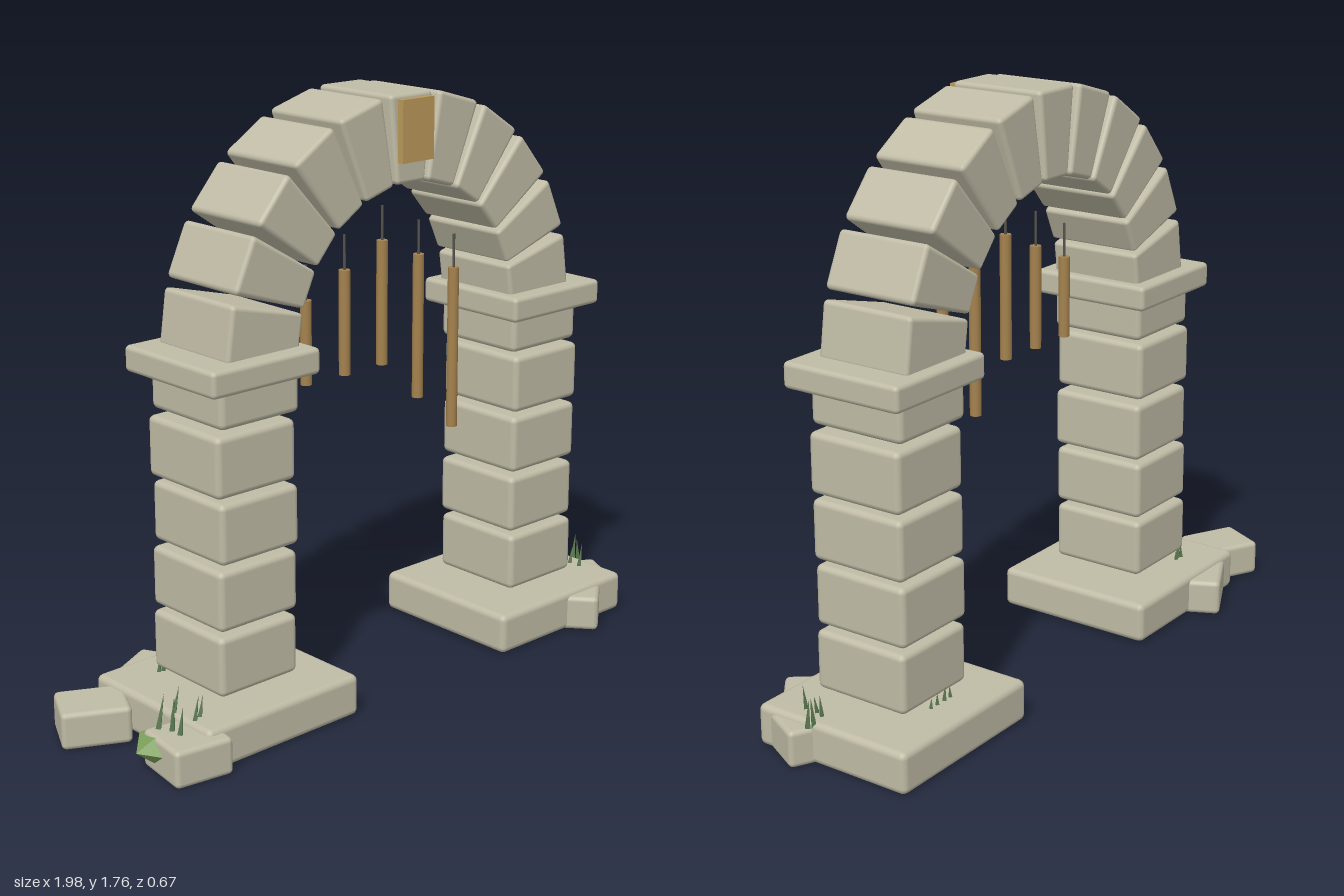
import * as THREE from 'three';
import { RoundedBoxGeometry } from 'three/addons/geometries/RoundedBoxGeometry.js';

export function createModel() {
  const root = new THREE.Group();
  root.name = 'stoneArch';
  const mat = (name, color, flatShading = false) => {
    const m = new THREE.MeshStandardMaterial({ color, flatShading });
    m.name = name;
    return m;
  };
  const stone = mat('stone', 0xbfbba5);
  const plate = mat('brassPlate', 0xbc9a5a);
  const wood = mat('chimeBrown', 0xa5824e);
  const cord = mat('cord', 0x57544c);
  const moss = mat('moss', 0x7d9f5a, true);
  const grass = mat('grass', 0x55734a, true);

  const add = (name, geo, material, x, y, z, ry = 0) => {
    const m = new THREE.Mesh(geo, material);
    m.name = name;
    m.position.set(x, y, z);
    m.rotation.y = ry;
    root.add(m);
    return m;
  };
  const block = (w, h, d, r) => new RoundedBoxGeometry(w, h, d, 2, r);

  const midX = 0.072;
  const half = 0.58;

  // Pillars: base slab, five slightly shifted blocks, cap
  const baseGeo = block(0.555, 0.125, 0.52, 0.02);
  const blockGeo = block(0.28, 0.177, 0.31, 0.018);
  const capGeo = block(0.38, 0.076, 0.39, 0.014);
  const shifts = {
    '-1': [-0.008, -0.005, 0.003, -0.007, 0.008],
    '1': [0, -0.005, 0, 0.004, -0.01],
  };
  for (const s of [-1, 1]) {
    const x = midX + s * half;
    add('base', baseGeo, stone, x, 0.0625, 0);
    shifts[s].forEach((dx, i) =>
      add('pillarBlock', blockGeo, stone, x + dx, 0.235 + i * 0.1935, 0.004));
    add('cap', capGeo, stone, x, 1.067, 0.005);
  }

  // Arch: eleven wedge stones, wider at the outer radius
  const rIn = 0.42, rOut = 0.676, archY = 1.08, count = 11;
  const wedge = block(0.138, rOut - rIn, 0.3, 0.013);
  const p = wedge.attributes.position;
  for (let i = 0; i < p.count; i++) {
    const t = p.getY(i) / (rOut - rIn) + 0.5;
    p.setX(i, p.getX(i) * THREE.MathUtils.lerp(0.054, 0.0835, t) / 0.069);
  }
  const rMid = (rIn + rOut) / 2;
  for (let i = 0; i < count; i++) {
    const a = (i - (count - 1) / 2) * Math.PI / count;
    const m = add(i === 5 ? 'keystone' : 'archStone', wedge, stone,
      midX + rMid * Math.sin(a), archY + rMid * Math.cos(a), 0);
    m.rotation.z = -a;
  }

  // Plate on the keystone
  add('keystonePlate', new THREE.BoxGeometry(0.122, 0.178, 0.02), plate, midX, 1.655, 0.166);

  // Hanging chimes: x step, top, bottom
  [[-2, 1.19, 0.943], [-1, 1.254, 0.943], [0, 1.318, 0.946], [1, 1.254, 0.815], [2, 1.19, 0.692]]
    .forEach(([k, top, bottom]) => {
      const x = midX + k * 0.148;
      add('chimeTube', new THREE.CylinderGeometry(0.017, 0.017, top - bottom, 10), wood,
        x, (top + bottom) / 2, 0.03);
      add('chimeCord', new THREE.CylinderGeometry(0.004, 0.004, 0.104, 6), cord, x, top + 0.05, 0.03);
    });

  // Loose stones around the bases: x, z, width, depth, turn
  [
    [-0.872, -0.155, 0.2, 0.167, -0.476],
    [-0.62, -0.21, 0.24, 0.187, 0.46],
    [-0.807, 0.195, 0.18, 0.187, -0.15],
    [0.75, 0.21, 0.187, 0.171, 0.68],
    [0.865, 0.13, 0.187, 0.187, -0.47],
  ].forEach(([x, z, w, d, turn]) =>
    add('looseStone', block(w, 0.11, d, 0.015), stone, x, 0.055, z, turn));

  // Moss clumps
  const mossGeo = new THREE.IcosahedronGeometry(1, 0);
  add('mossClump', mossGeo, moss, -0.845, 0.068, 0.13, 0.5).scale.set(0.095, 0.045, 0.08);
  add('mossClump', mossGeo, moss, 0.875, 0.07, 0.115, 0.3).scale.set(0.075, 0.04, 0.07);

  // Grass blades: x, z, height, sideways lean
  const bladeGeo = new THREE.ConeGeometry(0.01, 1, 4);
  bladeGeo.translate(0, 0.5, 0);
  [
    [-0.85, 0.12, 0.1, -0.22], [-0.83, 0.155, 0.1, -0.1], [-0.775, 0.09, 0.09, -0.25],
    [-0.765, 0.17, 0.085, -0.2], [-0.74, 0.16, 0.075, -0.2], [-0.83, 0.19, 0.08, -0.15],
    [0.87, 0.13, 0.09, -0.15], [0.88, 0.065, 0.08, -0.1], [0.92, 0.06, 0.095, -0.12],
    [0.935, 0.07, 0.08, 0.1], [0.87, 0.09, 0.07, -0.2],
    [-0.64, -0.15, 0.065, -0.1], [-0.625, -0.145, 0.06, 0.1], [-0.61, -0.15, 0.05, 0],
    [0.585, -0.15, 0.05, -0.1], [0.615, -0.15, 0.06, 0.1], [0.645, -0.15, 0.05, 0],
    [0.675, -0.15, 0.045, 0.1],
  ].forEach(([x, z, h, lean]) => {
    const m = add('grassBlade', bladeGeo, grass, x, 0.11, z);
    m.scale.y = h;
    m.rotation.z = lean;
  });

  return root;
}
